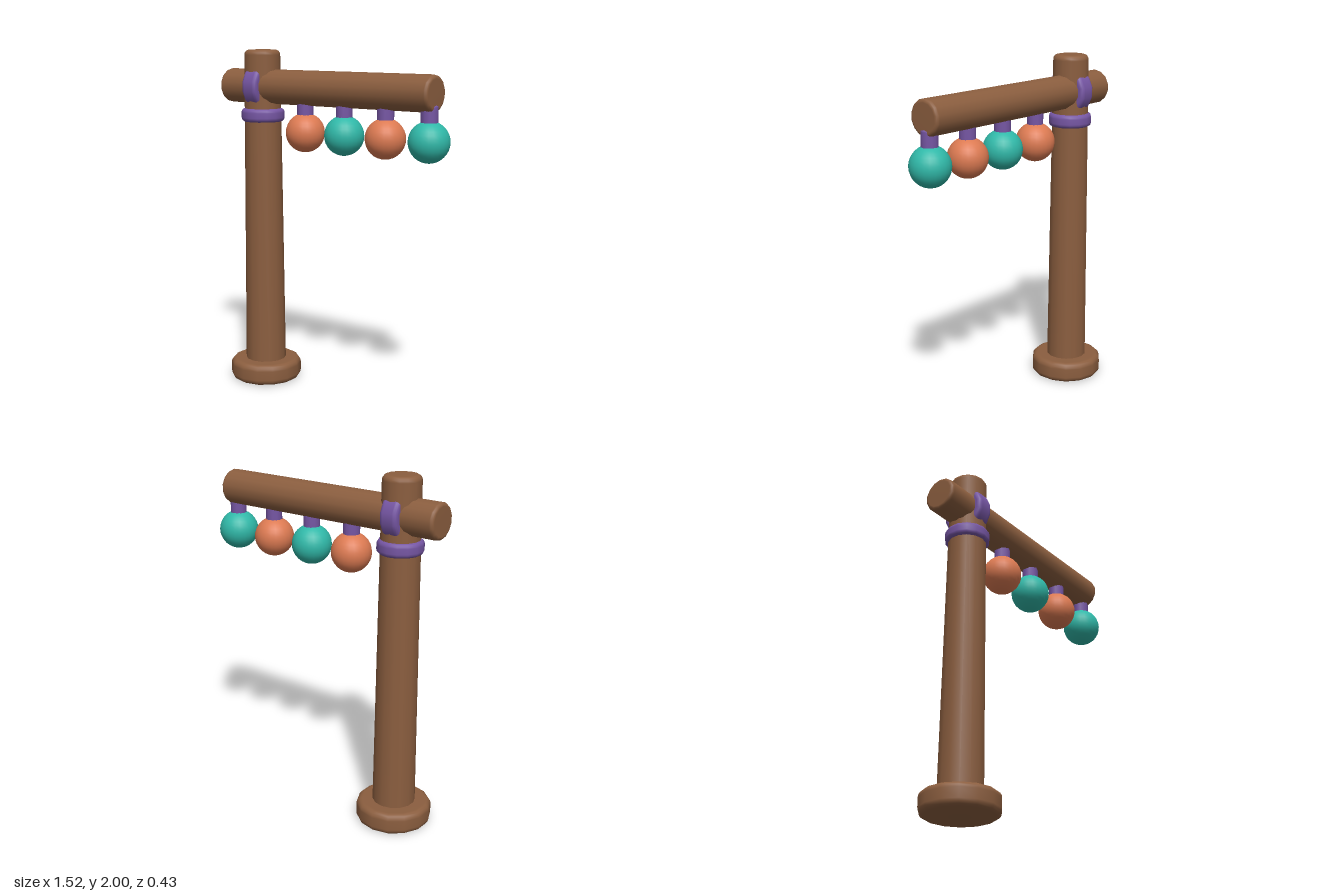
import * as THREE from 'three';

const material = (name, color) => new THREE.MeshStandardMaterial({ name, color });

// Upright rod with rounded rims, from y = 0 to y = height
function roundedRod(bottomRadius, topRadius, height, bevel, sides = 14) {
  const points = [new THREE.Vector2(0, 0)];
  const steps = 4;
  for (let i = 0; i <= steps; i++) {
    const a = (i / steps) * Math.PI / 2;
    points.push(new THREE.Vector2(
      bottomRadius - bevel + bevel * Math.sin(a), bevel - bevel * Math.cos(a)));
  }
  for (let i = 0; i <= steps; i++) {
    const a = (i / steps) * Math.PI / 2;
    points.push(new THREE.Vector2(
      topRadius - bevel + bevel * Math.cos(a), height - bevel + bevel * Math.sin(a)));
  }
  points.push(new THREE.Vector2(0, height));
  return new THREE.LatheGeometry(points, sides);
}

// The same rod laid along x and centred, with a corner pointing up
function lyingRod(radius, length, bevel, sides = 14) {
  return roundedRod(radius, radius, length, bevel, sides)
    .translate(0, -length / 2, 0)
    .rotateY(Math.PI / 2)
    .rotateZ(Math.PI / 2);
}

export function createModel() {
  const model = new THREE.Group();
  model.name = 'hangingOrnamentPost';

  const wood = material('brown wood', 0x8b5e3f);
  const binding = material('purple binding', 0x7656a4);
  const teal = material('teal', 0x30b8a8);
  const orange = material('orange', 0xdc7a52);

  const add = (name, geometry, mat, x, y, z = 0, parent = model) => {
    const mesh = new THREE.Mesh(geometry, mat);
    mesh.name = name;
    mesh.position.set(x, y, z);
    parent.add(mesh);
    return mesh;
  };

  const postX = -0.508;
  const beamY = 1.787;

  // Post and foot
  add('foot', roundedRod(0.214, 0.214, 0.125, 0.035), wood, postX, 0);
  add('post', roundedRod(0.122, 0.105, 1.96, 0.03), wood, postX, 0.04);

  // Cross beam
  add('beam', lyingRod(0.1, 1.443, 0.02), wood, -0.0385, beamY);

  // Bindings around the post and around the beam joint
  add('postCollar', roundedRod(0.127, 0.127, 0.08, 0.025), binding, postX, 1.58);
  add('beamBinding', lyingRod(0.1355, 0.108, 0.025), binding, postX, beamY);

  // Hanging balls
  const hangerGeometry = roundedRod(0.047, 0.047, 0.115, 0.012, 12);
  const ballGeometry = new THREE.SphereGeometry(0.113, 24, 16);
  [-0.188, 0.089, 0.366, 0.643].forEach((x, i) => {
    const ornament = new THREE.Group();
    ornament.name = 'ornament' + (i + 1);
    ornament.position.set(x, 1.533, 0);
    model.add(ornament);
    add('hanger', hangerGeometry, binding, 0, 0.08, 0, ornament);
    add('ball', ballGeometry, i % 2 ? teal : orange, 0, 0, 0, ornament);
  });

  return model;
}
